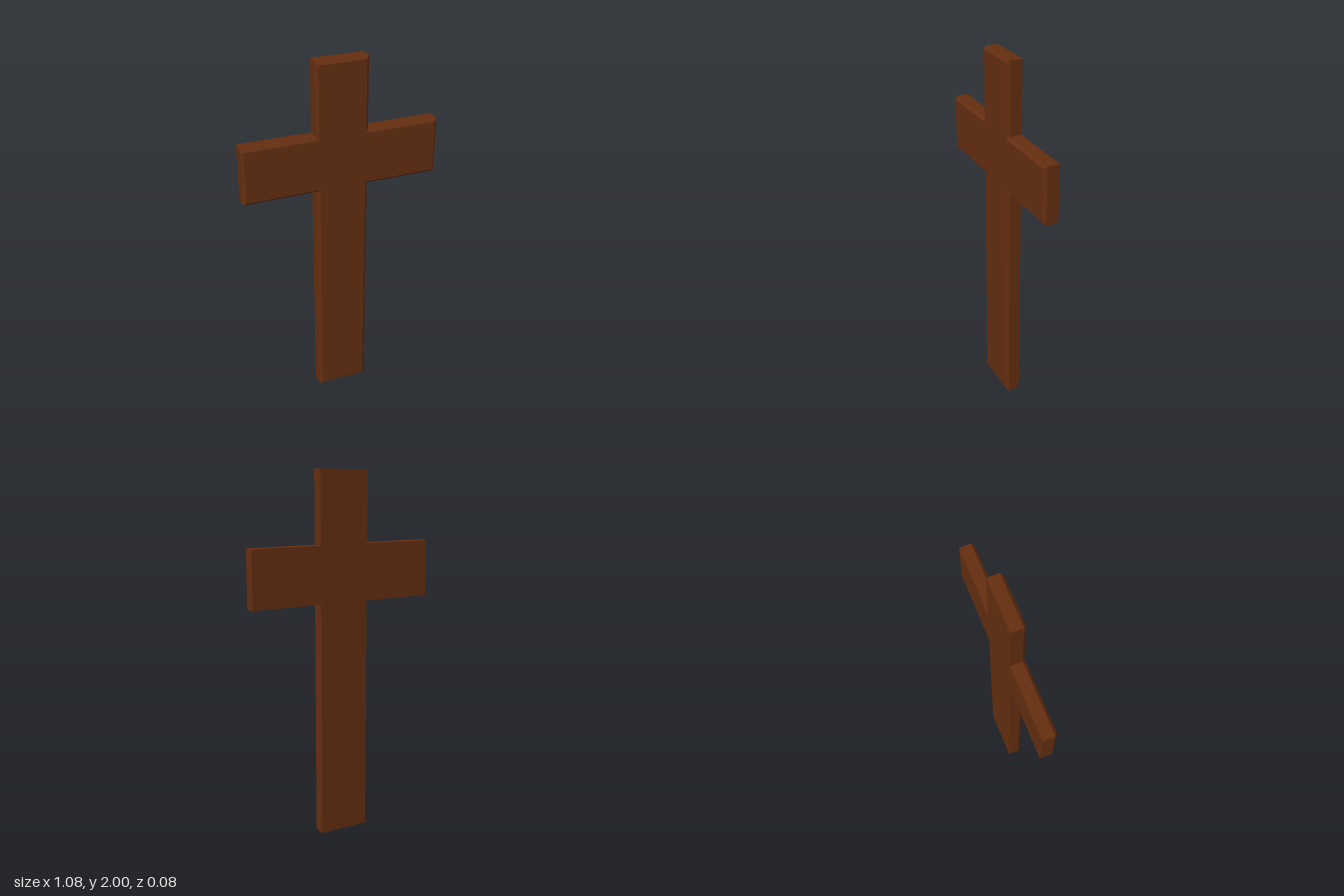
import * as THREE from 'three';

export function createModel() {
  const wood = new THREE.MeshStandardMaterial({ color: 0x642e10 });
  wood.name = 'dark brown wood';

  const stem = 0.143, arm = 0.54, armBottom = 1.3, armTop = 1.61, top = 2;
  const depth = 0.08, chamfer = 0.015;

  // Outline: right half from the foot up, then its mirror image
  const half = [
    [stem, 0], [stem, armBottom], [arm, armBottom],
    [arm, armTop], [stem, armTop], [stem, top],
  ];
  const mirrored = half.map(([x, y]) => [-x, y]).reverse();
  const outline = new THREE.Shape([...half, ...mirrored].map(([x, y]) => new THREE.Vector2(x, y)));

  // Slab with a single chamfer, keeping the outer outline
  const geometry = new THREE.ExtrudeGeometry(outline, {
    depth: depth - chamfer,
    bevelEnabled: true,
    bevelThickness: chamfer,
    bevelSize: chamfer,
    bevelOffset: -chamfer,
    bevelSegments: 1,
  });

  // Flatten the rear chamfer so only the front edge is bevelled
  const position = geometry.attributes.position;
  for (let i = 0; i < position.count; i++) {
    position.setZ(i, Math.max(position.getZ(i), 0));
  }
  geometry.translate(0, 0, -depth / 2);
  geometry.computeVertexNormals();

  const cross = new THREE.Mesh(geometry, wood);
  cross.name = 'cross';

  const model = new THREE.Group();
  model.name = 'woodenCross';
  model.add(cross);
  return model;
}
